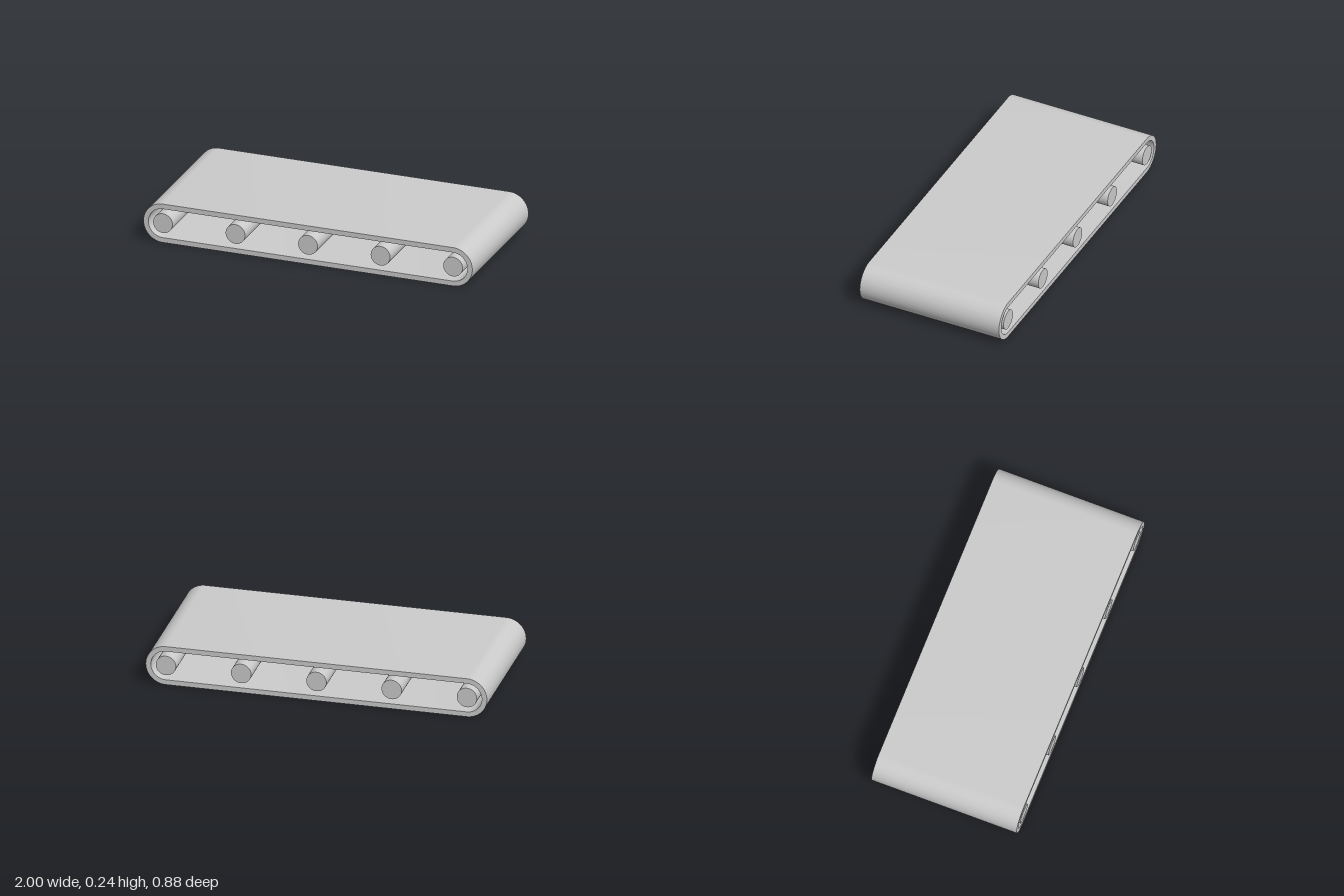
import * as THREE from 'three';
import { toCreasedNormals } from 'three/addons/utils/BufferGeometryUtils.js';

const RADIUS = 0.118;      // outer radius of the belt ends
const INNER = 0.088;       // inner radius of the belt ends
const REACH = 0.882;       // distance from the centre to the end rollers
const WIDTH = 0.882;       // belt and roller width along z
const ROLLER_COUNT = 5;

// Stadium outline: two half circles joined by straight runs
function trace(path, radius) {
  path.absarc(REACH, 0, radius, -Math.PI / 2, Math.PI / 2, false);
  path.absarc(-REACH, 0, radius, Math.PI / 2, Math.PI * 1.5, false);
  path.closePath();
  return path;
}

export function createModel() {
  const group = new THREE.Group();
  group.name = 'conveyor';
  const material = new THREE.MeshStandardMaterial({ color: 0xcccccc });

  // Belt: a hollow stadium loop, open at front and back
  const outline = trace(new THREE.Shape(), RADIUS);
  outline.holes.push(trace(new THREE.Path(), INNER));
  const beltGeometry = new THREE.ExtrudeGeometry(outline, {
    depth: WIDTH, bevelEnabled: false, curveSegments: 32,
  });
  beltGeometry.translate(0, RADIUS, -WIDTH / 2);
  const belt = new THREE.Mesh(toCreasedNormals(beltGeometry, 0.6), material);
  belt.name = 'belt';
  group.add(belt);

  // Rollers: evenly spaced, flush with the belt edges
  const rollerGeometry = new THREE.CylinderGeometry(0.059, 0.059, WIDTH, 48);
  rollerGeometry.rotateX(Math.PI / 2);
  for (let i = 0; i < ROLLER_COUNT; i++) {
    const roller = new THREE.Mesh(rollerGeometry, material);
    roller.name = `roller${i + 1}`;
    roller.position.set(-REACH + (2 * REACH * i) / (ROLLER_COUNT - 1), RADIUS, 0);
    group.add(roller);
  }
  return group;
}
